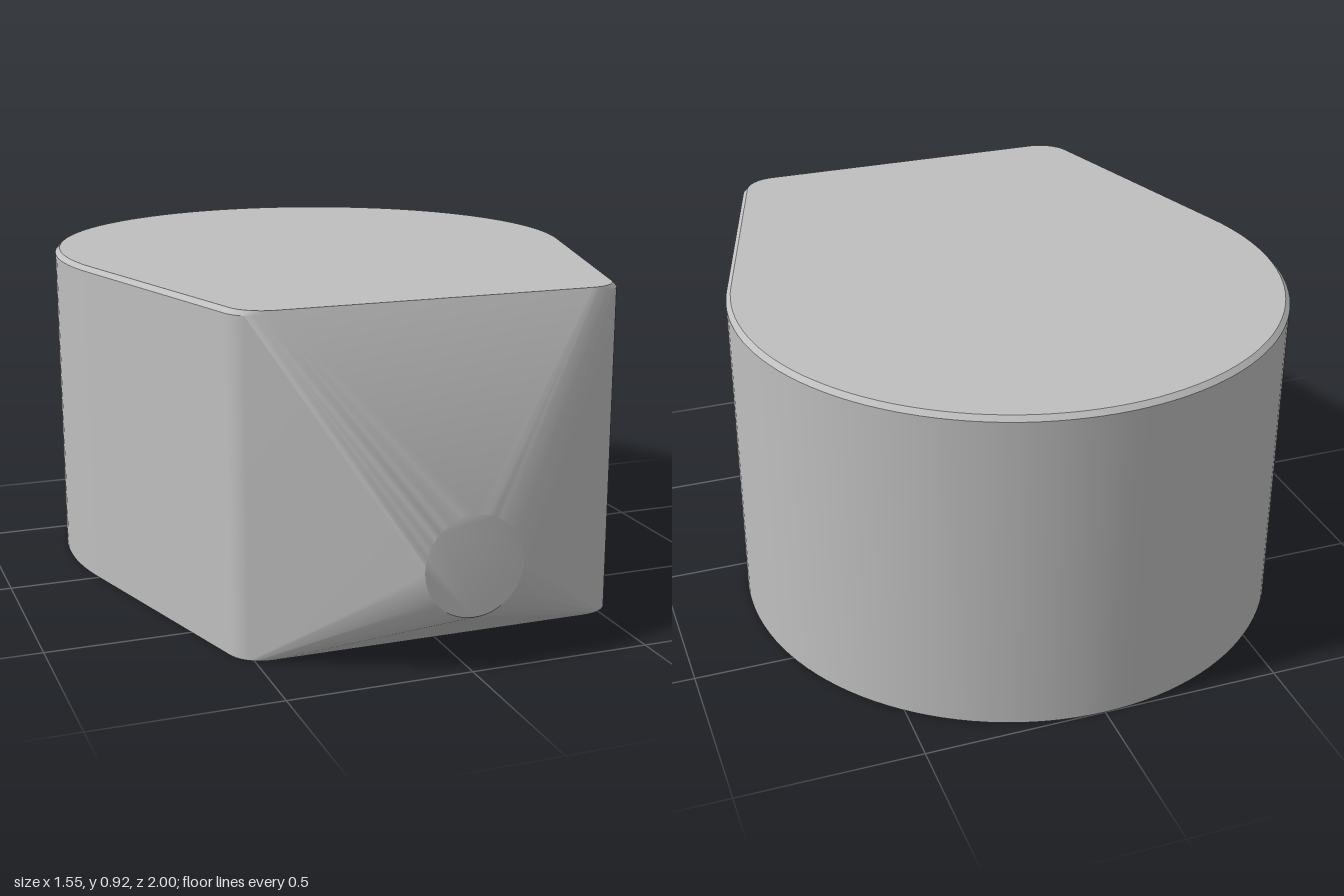
import * as THREE from 'three';
import { ConvexGeometry } from 'three/addons/geometries/ConvexGeometry.js';
import { toCreasedNormals } from 'three/addons/utils/BufferGeometryUtils.js';

// Teardrop outline: large rear arc, straight tapering sides, two small front corners
function outline(y, inset) {
  const points = [];
  const taper = Math.atan2(0.273, 0.962);
  const arc = (cx, cz, r, from, to, steps) => {
    for (let i = 0; i <= steps; i++) {
      const a = from + (to - from) * i / steps;
      points.push(new THREE.Vector3(cx + r * Math.cos(a), y, cz + r * Math.sin(a)));
    }
  };
  const cornerX = 0.452 - inset / Math.cos(taper);
  arc(cornerX, 0.655, 0.1, taper, Math.PI / 2, 10);
  arc(-cornerX, 0.655, 0.1, Math.PI / 2, Math.PI - taper, 10);
  arc(0, -0.225, 0.775 - inset, Math.PI - taper, 2 * Math.PI + taper, 72);
  return points;
}

// Round flat tip at the front
function tip() {
  const points = [];
  for (let i = 0; i < 48; i++) {
    const a = i / 48 * Math.PI * 2;
    points.push(new THREE.Vector3(0.136 * Math.cos(a), 0.284 + 0.136 * Math.sin(a), 1));
  }
  return points;
}

export function createModel() {
  const grey = new THREE.MeshStandardMaterial({ color: 0xbfbfbf });
  grey.name = 'grey';

  // Body with a bevelled top edge, drawn out to the round tip
  const points = [...outline(0, 0), ...outline(0.907, 0), ...outline(0.92, 0.013), ...tip()];
  // Creased at a large scale so that the narrow bevel stays crisp
  const hull = new ConvexGeometry(points.map((p) => p.multiplyScalar(100)));
  const geometry = toCreasedNormals(hull, 0.5).scale(0.01, 0.01, 0.01);

  const body = new THREE.Mesh(geometry, grey);
  body.name = 'body';
  const model = new THREE.Group();
  model.name = 'taperedBlock';
  model.add(body);
  return model;
}
